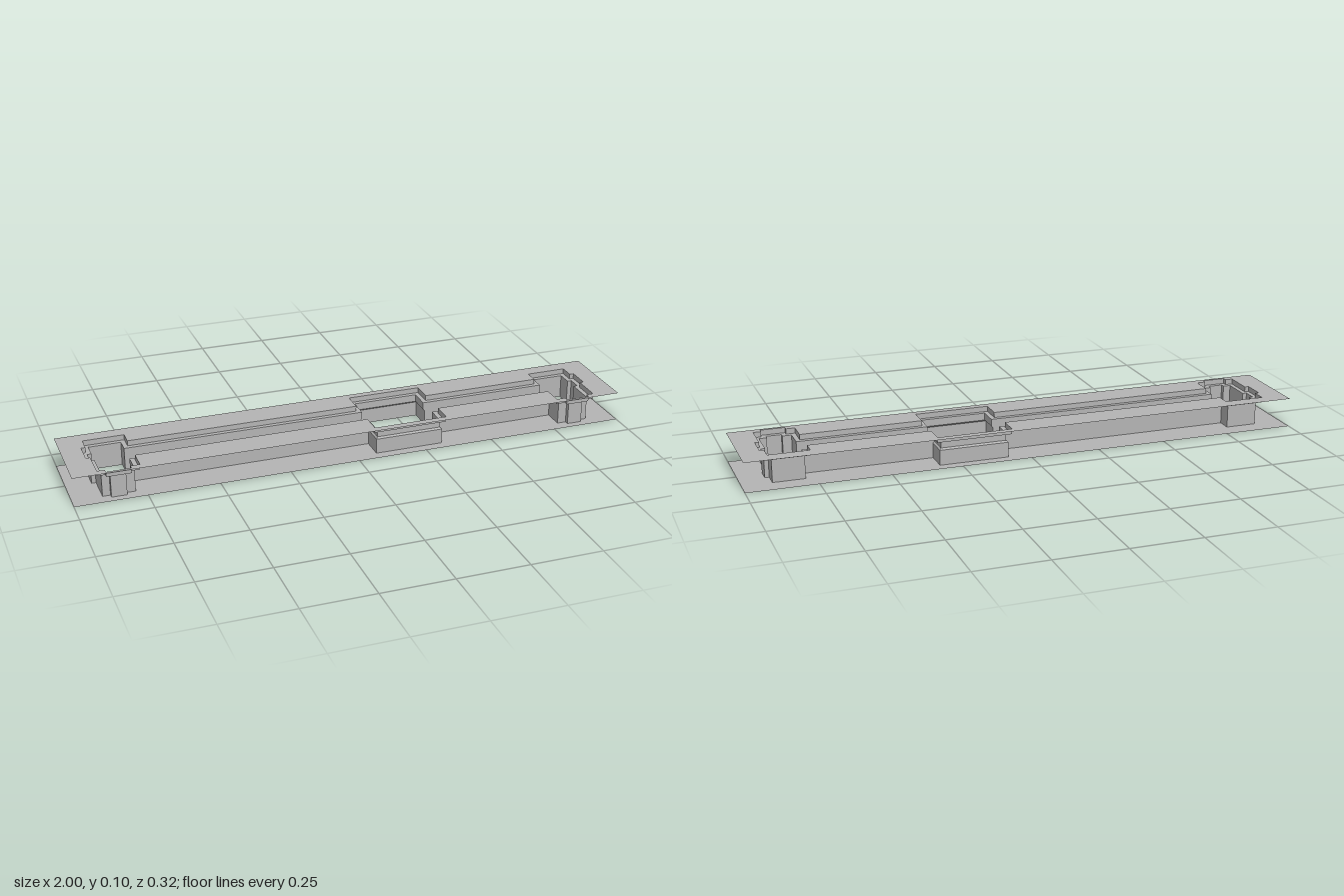
import * as THREE from 'three';

const LIP = 0.016;    // how far the upper rim stands out from the well
const FLARE = 0.006;  // how far the lower window box stands out

// Closed outline [x, z] of the opening, grown by d; the window grows by a further flare
function outline(d, flare = 0) {
  const w = d + flare, c = 0.041 + d;
  const windowSide = [
    [0.081 - w, -c], [0.081 - w, -0.116 - w], [0.317 + w, -0.116 - w], [0.317 + w, -c],
  ];
  const endPocket = [
    [0.783 - d, -c], [0.783 - d, -0.092 - d], [0.896 + d, -0.092 - d], [0.896 + d, -0.038 - d],
    [0.911 + d, -0.038 - d], [0.911 + d, 0.01 + d], [0.896 + d, 0.01 + d], [0.896 + d, 0.115 + d],
    [0.869 + d, 0.115 + d], [0.869 + d, 0.131 + d], [0.815 - d, 0.131 + d], [0.815 - d, 0.115 + d],
    [0.783 - d, 0.115 + d], [0.783 - d, c],
  ];
  const flipZ = windowSide.map(([x, z]) => [x, -z]).reverse();
  const flipX = endPocket.map(([x, z]) => [-x, z]).reverse();
  return [...windowSide, ...endPocket, ...flipZ, ...flipX];
}

// Strip of flat quads joining two outlines at two heights
function band(lower, y0, upper, y1) {
  const pos = [];
  lower.forEach(([ax, az], i) => {
    const j = (i + 1) % lower.length;
    const [bx, bz] = lower[j], [cx, cz] = upper[j], [dx, dz] = upper[i];
    pos.push(ax, y0, az, cx, y1, cz, bx, y0, bz);
    pos.push(ax, y0, az, dx, y1, dz, cx, y1, cz);
  });
  const geo = new THREE.BufferGeometry();
  geo.setAttribute('position', new THREE.Float32BufferAttribute(pos, 3));
  geo.computeVertexNormals();
  return geo;
}

// Flat rectangular sheet with the outline cut out
function sheet(hole, y) {
  const X = 1, Z = 0.158;
  const shape = new THREE.Shape([[-X, -Z], [X, -Z], [X, Z], [-X, Z]].map(p => new THREE.Vector2(...p)));
  shape.holes.push(new THREE.Path(hole.map(([x, z]) => new THREE.Vector2(x, -z))));
  return new THREE.ShapeGeometry(shape).rotateX(-Math.PI / 2).translate(0, y, 0);
}

export function createModel() {
  const group = new THREE.Group();
  const grey = new THREE.MeshStandardMaterial({ color: 0xb4b4b4, side: THREE.DoubleSide });
  grey.name = 'grey';
  const add = (name, geo) => {
    const mesh = new THREE.Mesh(geo, grey);
    mesh.name = name;
    group.add(mesh);
  };

  const base = outline(0, FLARE), well = outline(0), rim = outline(LIP);

  // Two thin sheets
  add('bottomSheet', sheet(base, 0));
  add('topSheet', sheet(rim, 0.105));

  // Well walls, with the window box flared below a small bevel
  add('lowerWall', band(base, 0, base, 0.054));
  add('windowBevel', band(base, 0.054, well, 0.06));
  add('upperWall', band(well, 0.06, well, 0.086));

  // Stepped rim
  add('ledge', band(well, 0.086, rim, 0.086));
  add('rimWall', band(rim, 0.086, rim, 0.105));

  return group;
}
